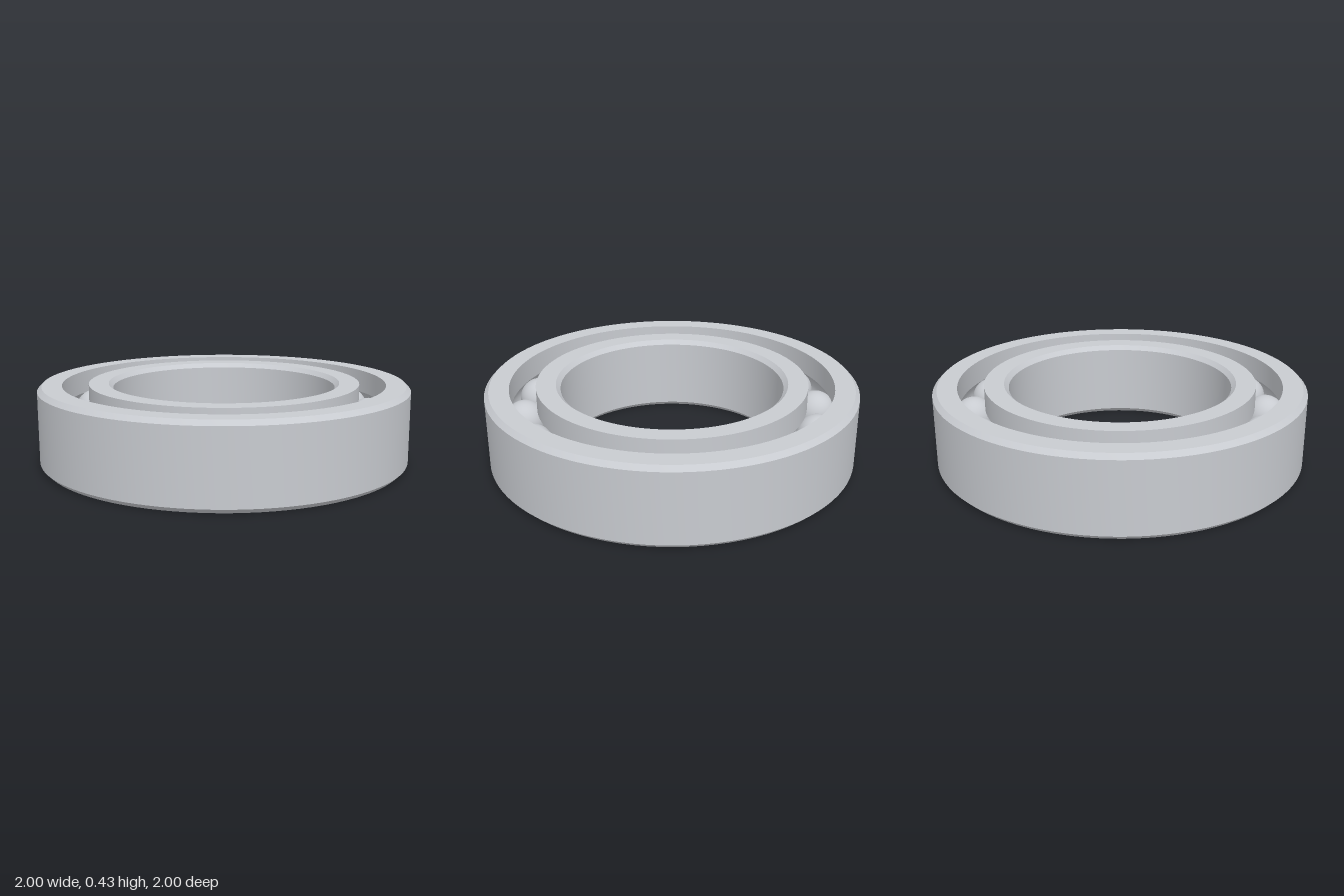
import * as THREE from 'three';
import { toCreasedNormals } from 'three/addons/utils/BufferGeometryUtils.js';

const HEIGHT = 0.427, MID = HEIGHT / 2;
const PITCH = 0.8, BALL = 0.11, GROOVE = 0.112, CHAMFER = 0.024;

// Raceway arc cut into the wall at radius wallR; side is +1 for outer ring, -1 for inner ring
function raceway(wallR, side) {
  const half = Math.acos(Math.abs(wallR - PITCH) / GROOVE);
  const pts = [];
  for (let i = 0; i <= 12; i++) {
    const a = half * (1 - i / 6) * side;
    pts.push([PITCH + side * GROOVE * Math.cos(a), MID + GROOVE * Math.sin(a)]);
  }
  return pts;
}

// Revolve a closed counter-clockwise (radius, height) profile
function ring(name, profile, material) {
  const pts = [...profile, profile[0]].map(([r, y]) => new THREE.Vector2(r, y));
  const geo = toCreasedNormals(new THREE.LatheGeometry(pts, 96), 0.45);
  const mesh = new THREE.Mesh(geo, material);
  mesh.name = name;
  return mesh;
}

export function createModel() {
  const steel = new THREE.MeshStandardMaterial({ color: 0xc8cbd0 });
  steel.name = 'steel';
  const group = new THREE.Group();
  group.name = 'ballBearing';

  // Outer ring: chamfered outside, grooved inside
  group.add(ring('outerRing', [
    [1 - CHAMFER, 0], [1, CHAMFER], [1, HEIGHT - CHAMFER], [1 - CHAMFER, HEIGHT],
    [0.87, HEIGHT], ...raceway(0.87, 1), [0.87, 0],
  ], steel));

  // Inner ring: grooved outside, chamfered bore
  group.add(ring('innerRing', [
    [0.73, 0], ...raceway(0.73, -1), [0.73, HEIGHT],
    [0.6 + CHAMFER, HEIGHT], [0.6, HEIGHT - CHAMFER], [0.6, CHAMFER], [0.6 + CHAMFER, 0],
  ], steel));

  // Sixteen balls around the pitch circle
  const ballGeo = new THREE.SphereGeometry(BALL, 32, 20);
  for (let i = 0; i < 16; i++) {
    const a = (i / 16) * Math.PI * 2;
    const ball = new THREE.Mesh(ballGeo, steel);
    ball.name = `ball${i + 1}`;
    ball.position.set(PITCH * Math.cos(a), MID, PITCH * Math.sin(a));
    group.add(ball);
  }
  return group;
}
